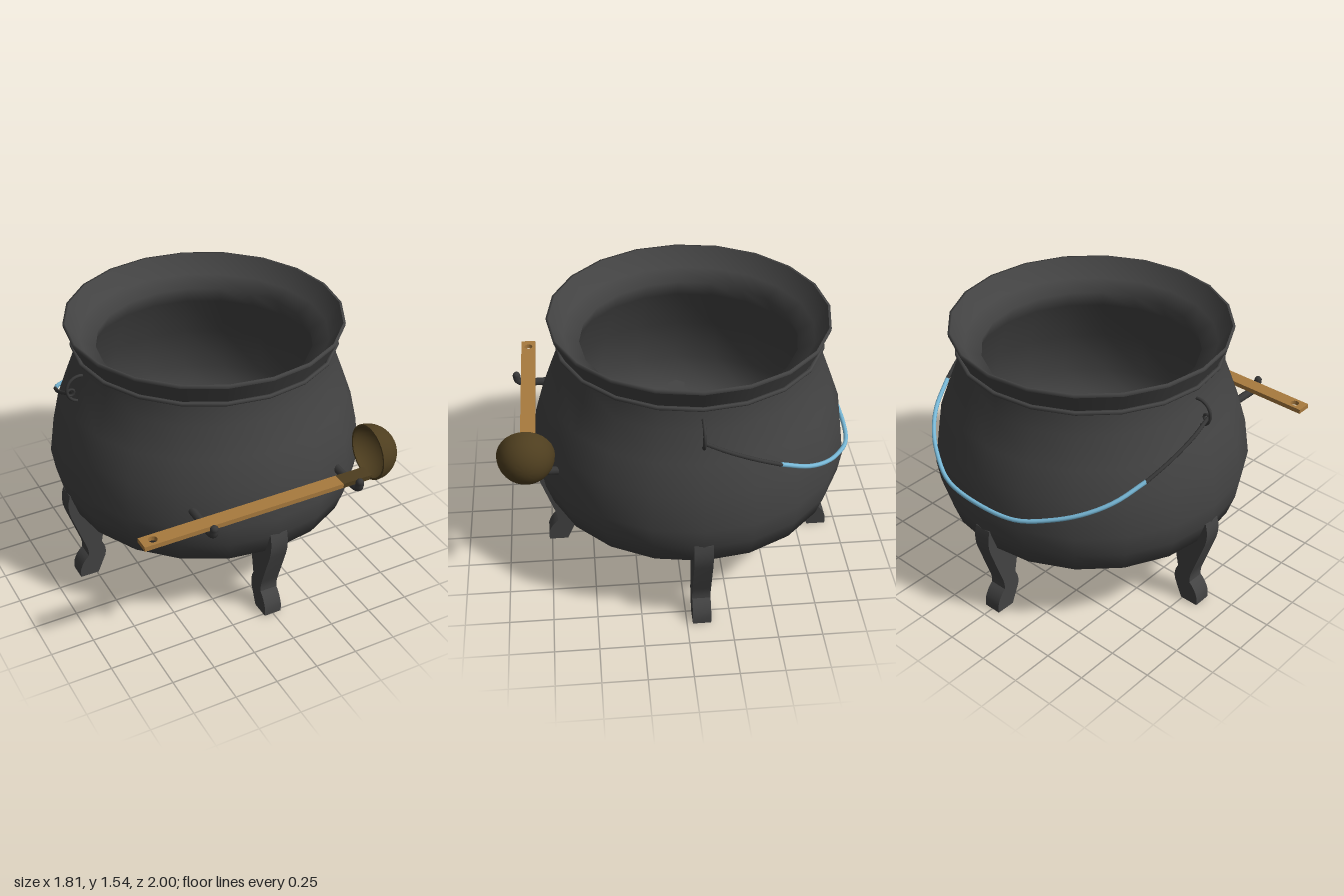
import * as THREE from 'three';
import { toCreasedNormals } from 'three/addons/utils/BufferGeometryUtils.js';

const SIDES = 20;
const POT_Z = -0.085;

function material(name, color) {
  const m = new THREE.MeshStandardMaterial({ color, side: THREE.DoubleSide });
  m.name = name;
  return m;
}

export function createModel() {
  const iron = material('cast iron', 0x434343);
  const wire = material('dark wire', 0x383838);
  const blue = material('blue handle', 0x78b9d8);
  const wood = material('light wood', 0xa87a3e);
  const darkWood = material('dark wood', 0x4e3e1f);

  const model = new THREE.Group();
  model.name = 'cauldron';
  const pot = new THREE.Group();
  pot.name = 'pot';
  pot.position.z = POT_Z;
  model.add(pot);

  const add = (parent, name, geometry, mat) => {
    const mesh = new THREE.Mesh(geometry, mat);
    mesh.name = name;
    parent.add(mesh);
    return mesh;
  };
  const lathe = (name, profile) => add(pot, name,
    new THREE.LatheGeometry(profile.map(([r, y]) => new THREE.Vector2(r, y)), SIDES), iron);
  const tube = (parent, name, points, radius, steps, mat) => add(parent, name,
    new THREE.TubeGeometry(new THREE.CatmullRomCurve3(points.map(p => new THREE.Vector3(...p))),
      steps, radius, 8), mat);

  // Pot shell, flared rim and inside
  lathe('potBody', [[0, 0.305], [0.25, 0.318], [0.576, 0.37], [0.842, 0.465], [0.885, 0.59],
    [0.905, 0.72], [0.875, 0.935], [0.815, 1.1], [0.75, 1.27], [0.735, 1.4]]);
  lathe('rimOutside', [[0.725, 1.4], [0.783, 1.52]]);
  lathe('rimLip', [[0.783, 1.52], [0.785, 1.538], [0.772, 1.538]]);
  lathe('potInside', [[0.772, 1.538], [0.7, 1.43], [0.61, 1.38], [0.66, 1.27], [0.77, 1.0],
    [0.82, 0.72], [0.75, 0.52], [0.5, 0.43], [0.25, 0.39], [0, 0.38]]);

  // Thin band under the rim
  const band = add(pot, 'neckBand', new THREE.TorusGeometry(0.743, 0.012, 6, SIDES), iron);
  band.rotation.x = Math.PI / 2;
  band.position.y = 1.405;

  // Four legs cut from one curved profile
  const legShape = new THREE.Shape();
  legShape.moveTo(0.74, 0);
  legShape.lineTo(0.852, 0);
  legShape.lineTo(0.852, 0.05);
  legShape.quadraticCurveTo(0.835, 0.11, 0.795, 0.14);
  legShape.quadraticCurveTo(0.79, 0.18, 0.81, 0.23);
  legShape.lineTo(0.885, 0.45);
  legShape.quadraticCurveTo(0.91, 0.53, 0.885, 0.605);
  legShape.lineTo(0.8, 0.605);
  legShape.lineTo(0.66, 0.46);
  legShape.lineTo(0.673, 0.4);
  legShape.lineTo(0.708, 0.22);
  legShape.quadraticCurveTo(0.675, 0.16, 0.692, 0.11);
  legShape.lineTo(0.74, 0);
  const legGeometry = toCreasedNormals(new THREE.ExtrudeGeometry(legShape,
    { depth: 0.104, bevelEnabled: false, curveSegments: 4 }).translate(0, 0, -0.052), 0.6);
  ['leftLeg', 'backLeg', 'rightLeg', 'frontLeg'].forEach((name, i) => {
    add(pot, name, legGeometry, iron).rotation.y = i * Math.PI / 2;
  });

  // Swinging handle: every point lies in one sloping plane
  const onPlane = ([x, z]) => [x, 1.25 + (z + 0.08) * 0.515, z];
  for (const side of [1, -1]) {
    const label = side > 0 ? 'left' : 'right';
    tube(model, label + 'HandleWire', [[0.82, -0.085], [0.82, -0.2], [0.795, -0.36], [0.755, -0.505]]
      .map(([x, z]) => onPlane([side * x, z])), 0.011, 12, wire);

    // Wire eye hooked on the side lug
    const eye = add(model, label + 'HandleEye', new THREE.TorusGeometry(0.02, 0.008, 6, 12), wire);
    eye.position.set(side * 0.815, 1.25, -0.085);

    const lug = add(model, label + 'Lug', new THREE.TorusGeometry(0.077, 0.009, 8, 16, Math.PI * 1.15), wire);
    lug.position.set(side * 0.76, 1.265, POT_Z);
    lug.rotation.set(0, side > 0 ? 0 : Math.PI, -Math.PI * 0.575);
    lug.rotation.order = 'YXZ';
  }
  const half = [[0.755, -0.5], [0.68, -0.66], [0.57, -0.785], [0.43, -0.885], [0.26, -0.965]];
  const grip = [...half, [0, -0.99], ...half.map(([x, z]) => [-x, z]).reverse()];
  tube(model, 'handleGrip', grip.map(onPlane), 0.0125, 48, blue);

  // Two hooks holding the ladle
  for (const x of [-0.455, 0.43]) {
    tube(model, 'ladleHook', [[x, 0.824, 0.6], [x, 0.824, 0.75], [x, 0.824, 0.87],
      [x, 0.838, 0.905], [x, 0.875, 0.912]], 0.023, 20, wire);
    add(model, 'hookTip', new THREE.SphereGeometry(0.023, 8, 6), wire).position.set(x, 0.875, 0.912);
  }

  // Ladle shaft with a hanging hole
  const ladle = new THREE.Group();
  ladle.name = 'ladle';
  ladle.position.z = 0.842;
  model.add(ladle);
  const shaft = new THREE.Shape();
  shaft.moveTo(-0.835, -0.043);
  shaft.lineTo(0.345, -0.043);
  shaft.lineTo(0.345, 0.043);
  shaft.lineTo(-0.835, 0.043);
  shaft.closePath();
  const hole = new THREE.Path();
  hole.absarc(-0.77, 0, 0.025, 0, Math.PI * 2, true);
  shaft.holes.push(hole);
  const shaftGeometry = new THREE.ExtrudeGeometry(shaft, { depth: 0.027, bevelEnabled: false, curveSegments: 10 });
  shaftGeometry.rotateX(-Math.PI / 2).translate(0, 0.849, 0);
  add(ladle, 'ladleShaft', shaftGeometry, wood);
  add(ladle, 'ladleNeck', new THREE.BoxGeometry(0.18, 0.027, 0.086), darkWood).position.set(0.435, 0.8625, 0);

  // Hollow half-round bowl opening toward the shaft
  const bowlProfile = [];
  for (let i = 0; i <= 10; i++) {
    const a = i * Math.PI / 20;
    bowlProfile.push(new THREE.Vector2(0.157 * Math.cos(a), 0.157 * Math.sin(a)));
  }
  for (let i = 0; i <= 10; i++) {
    const a = i * Math.PI / 20;
    bowlProfile.unshift(new THREE.Vector2(0.145 * Math.cos(a), 0.145 * Math.sin(a)));
  }
  const bowl = add(ladle, 'ladleBowl',
    toCreasedNormals(new THREE.LatheGeometry(bowlProfile, 28), 0.7), darkWood);
  bowl.rotation.z = -Math.PI / 2;
  bowl.position.set(0.515, 1.002, 0);

  return model;
}
